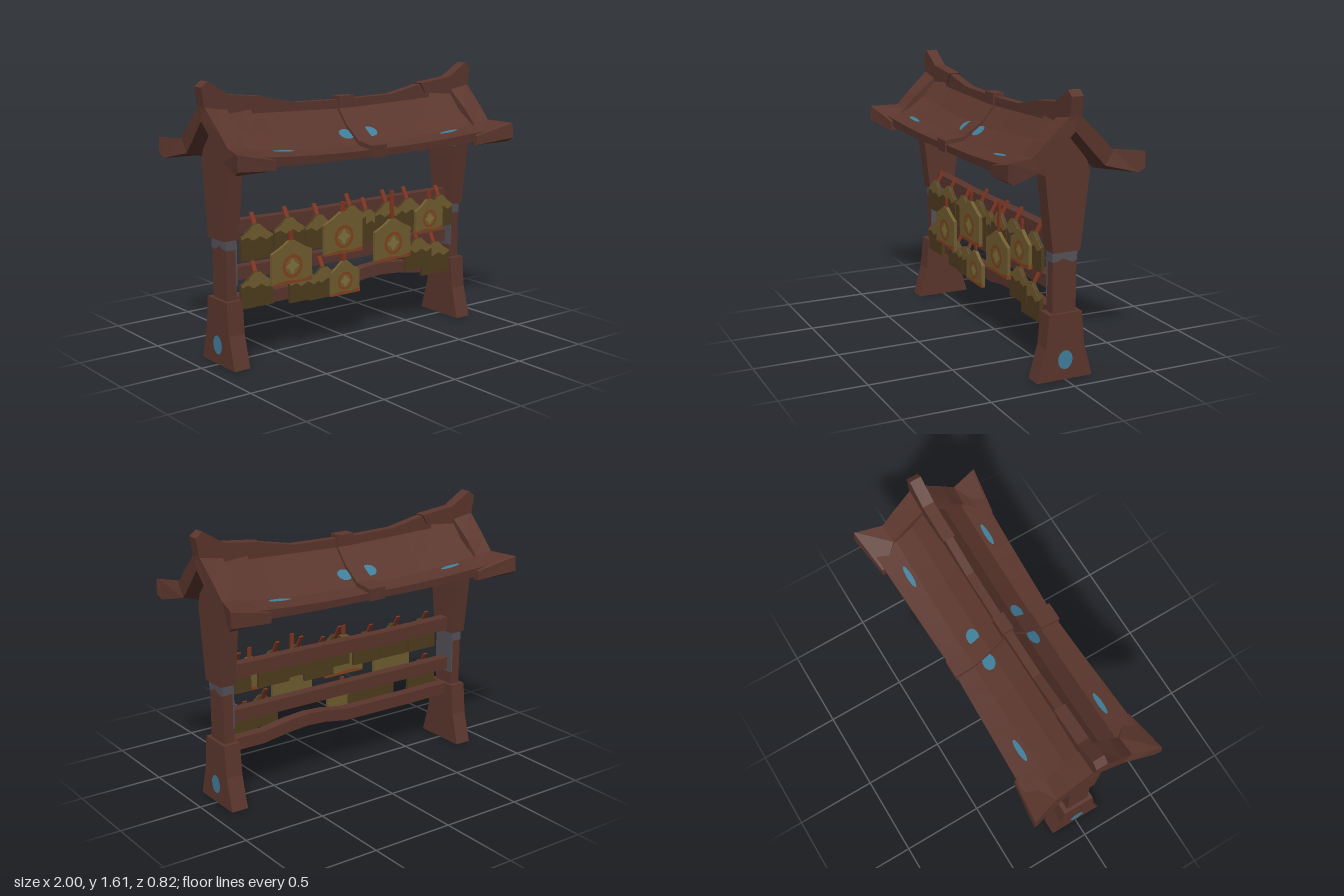
import * as THREE from 'three';

const mat = (name, color, side = THREE.FrontSide) => {
  const m = new THREE.MeshStandardMaterial({ color, side });
  m.name = name;
  return m;
};

export function createModel() {
  const root = new THREE.Group();
  root.name = 'plaqueRack';
  const wood = mat('brown wood', 0x5b362d, THREE.DoubleSide);
  const blue = mat('blue paint', 0x3f7f9c, THREE.DoubleSide);
  const grey = mat('grey metal', 0x545158);
  const dark = mat('dark olive', 0x4f3c1e);
  const olive = mat('olive', 0x715d30);
  const pale = mat('pale olive', 0x83733d);
  const rust = mat('rust brown', 0x82431f);
  const red = mat('red cord', 0x80351f);

  const add = (name, geo, material, parent = root) => {
    const m = new THREE.Mesh(geo, material);
    m.name = name;
    parent.add(m);
    return m;
  };
  const shapeOf = pts => new THREE.Shape(pts.map(p => new THREE.Vector2(p[0], p[1])));
  // Outline in x,y extruded from z0 to z1
  const slab = (pts, z0, z1) =>
    new THREE.ExtrudeGeometry(shapeOf(pts), { depth: z1 - z0, bevelEnabled: false }).translate(0, 0, z0);
  // Outline in z,y extruded from x0 to x1
  const sideSlab = (pts, x0, x1) =>
    slab(pts.map(p => [-p[0], p[1]]), x0, x1).rotateY(Math.PI / 2);
  const mirrored = half => [...half, ...half.slice().reverse().map(p => [-p[0], p[1]])];

  // Solid shell lofted along +x; each station lists [outer, inner] point pairs from +z to -z
  const shell = stations => {
    const v = [];
    const quad = (a, b, c, d) => v.push(...a, ...b, ...c, ...a, ...c, ...d);
    const n = stations[0].length;
    for (let s = 0; s < stations.length - 1; s++) {
      const A = stations[s], B = stations[s + 1];
      for (let i = 0; i < n - 1; i++) {
        quad(A[i][0], B[i][0], B[i + 1][0], A[i + 1][0]);
        quad(A[i][1], A[i + 1][1], B[i + 1][1], B[i][1]);
      }
      quad(A[0][0], A[0][1], B[0][1], B[0][0]);
      quad(A[n - 1][0], B[n - 1][0], B[n - 1][1], A[n - 1][1]);
    }
    const F = stations[0], L = stations[stations.length - 1];
    for (let i = 0; i < n - 1; i++) {
      quad(F[i][0], F[i + 1][0], F[i + 1][1], F[i][1]);
      quad(L[i][0], L[i][1], L[i + 1][1], L[i + 1][0]);
    }
    const g = new THREE.BufferGeometry();
    g.setAttribute('position', new THREE.Float32BufferAttribute(v, 3));
    g.computeVertexNormals();
    return g;
  };
  // Half section (ridge to eave) completed on both sides
  const bothSlopes = half => [
    ...half.slice().reverse(),
    ...half.slice(1).map(pair => pair.map(([x, y, z]) => [x, y, -z])),
  ];

  // Main roof: thin sagging sheet with a lip along the eave
  const roofHalf = (x, up = 0, out = 0) => {
    const l = 0.045 * (x / 0.8) ** 2, e = 0.33 + 0.03 * Math.abs(x) / 0.75 + out;
    return [
      [[x, 1.41 + l + up, 0], [x, 1.4 + l, 0]],
      [[x, 1.28 + l + up, 0.11], [x, 1.27 + l, 0.107]],
      [[x, 1.2 + l + up, 0.22], [x, 1.19 + l, 0.217]],
      [[x, 1.19 + l * 0.85 + up, e - 0.03], [x, 1.18 + l * 0.85, e - 0.03]],
      [[x, 1.187 + l * 0.8 + up, e], [x, 1.145 + l * 0.5 - up * 0.2, e - 0.005]],
    ];
  };
  const xs = Array.from({ length: 13 }, (_, i) => -0.87 + i * 0.145);
  add('roof', shell(xs.map(x => bothSlopes(roofHalf(x)))), wood);
  add('roofStrap', shell([-0.055, 0.055].map(x => bothSlopes(roofHalf(x, 0.025, 0.01)))), wood);
  add('strapTop', new THREE.BoxGeometry(0.11, 0.07, 0.07).translate(0, 1.43, 0), wood);

  // Flared roof ends
  const capIn = [
    [[0.82, 1.475, 0], [0.82, 1.345, 0]],
    [[0.825, 1.335, 0.165], [0.825, 1.22, 0.12]],
    [[0.83, 1.258, 0.235], [0.82, 1.155, 0.19]],
    [[0.73, 1.207, 0.35], [0.73, 1.14, 0.34]],
    [[0.73, 1.2, 0.37], [0.73, 1.145, 0.372]],
  ];
  const capOut = [
    [[0.965, 1.5, 0], [0.965, 1.39, 0]],
    [[0.955, 1.345, 0.165], [0.955, 1.262, 0.12]],
    [[0.95, 1.268, 0.24], [0.95, 1.19, 0.19]],
    [[0.995, 1.262, 0.395], [0.99, 1.145, 0.37]],
    [[1, 1.26, 0.404], [1, 1.17, 0.41]],
  ];
  const flip = st => st.map(pr => pr.map(([x, y, z]) => [-x, y, z]));
  const capA = bothSlopes(capIn), capB = bothSlopes(capOut);
  add('leftRoofEnd', shell([capA, capB]), wood);
  add('rightRoofEnd', shell([flip(capB), flip(capA)]), wood);

  // Ridge beam and its raised ends
  add('ridgeBeam', slab([[-0.65, 1.41], [0, 1.39], [0.65, 1.41], [0.65, 1.5], [0.58, 1.495], [0.35, 1.45],
    [0, 1.443], [-0.35, 1.45], [-0.58, 1.495], [-0.65, 1.5]], -0.025, 0.025), wood);
  for (const s of [-1, 1]) {
    const pts = [[0.575, 1.5], [0.61, 1.44], [0.82, 1.42], [0.96, 1.4], [0.965, 1.47],
      [0.982, 1.575], [0.94, 1.607], [0.805, 1.525]];
    add('ridgeEnd', slab(pts.map(p => [s * p[0], p[1]]), -0.035, 0.035), wood);
  }

  // Blue patches draped over both faces of the roof
  const drape = (cx, cz, rx, rz) => {
    for (const face of [0, 1]) {
      const g = new THREE.CircleGeometry(1, 14).rotateX(-Math.PI / 2).scale(rx, 1, rz).translate(cx, 0, cz);
      const p = g.attributes.position;
      for (let i = 0; i < p.count; i++) {
        const h = roofHalf(p.getX(i)).map(pr => pr[face]), z = Math.abs(p.getZ(i));
        const k = z < h[1][2] ? 0 : z < h[2][2] ? 1 : 2;
        const t = (z - h[k][2]) / (h[k + 1][2] - h[k][2]);
        p.setY(i, h[k][1] + t * (h[k + 1][1] - h[k][1]) + (face ? -0.006 : 0.006));
      }
      g.computeVertexNormals();
      add('roofPatch', g, blue);
    }
  };
  for (const sx of [-1, 1]) for (const sz of [-1, 1]) {
    drape(sx * 0.088, sz * 0.146, 0.048, 0.033);
    drape(sx * 0.605, sz * 0.26, 0.072, 0.016);
  }

  // Flared foot, hollow underneath
  const footGeometry = x => {
    const g = new THREE.BoxGeometry(0.103, 0.38, 2, 1, 2, 1).translate(x, 0.19, 0);
    const p = g.attributes.position;
    for (let i = 0; i < p.count; i++) {
      const y = p.getY(i);
      p.setZ(i, p.getZ(i) * (y < 0.1 ? 0.17 : y < 0.3 ? 0.118 : 0.1));
    }
    const bottom = g.groups[3];
    const index = Array.from(g.index.array);
    index.splice(bottom.start, bottom.count);
    g.setIndex(index);
    g.clearGroups();
    const flat = g.toNonIndexed();
    flat.computeVertexNormals();
    return flat;
  };

  // Posts
  for (const s of [-1, 1]) {
    const post = new THREE.Group();
    post.name = s > 0 ? 'leftPost' : 'rightPost';
    root.add(post);
    const span = (a, b) => (s > 0 ? [a, b] : [-b, -a]);
    add('foot', footGeometry(s * 0.8365), wood, post);
    add('shaft', sideSlab(mirrored([[0.072, 0.37], [0.072, 0.74]]), ...span(0.803, 0.868)), wood, post);
    add('upperPost', sideSlab(mirrored([[0.083, 0.725], [0.134, 1.15], [0.115, 1.22], [0.01, 1.345]]),
      ...span(0.79, 0.888)), wood, post);
    // Worn metal collar and inner plates
    add('collar', sideSlab([[-0.075, 0.727], [-0.075, 0.67], [-0.05, 0.66], [-0.02, 0.67], [0.01, 0.688],
      [0.04, 0.672], [0.075, 0.668], [0.075, 0.727]], ...span(0.8, 0.871)), grey, post);
    add('innerPlate', sideSlab(mirrored([[0.075, 0.46], [0.075, 0.7]]), ...span(0.799, 0.808)), grey, post);
    add('topPlate', sideSlab(mirrored([[0.125, 1.1], [0.132, 1.15], [0.11, 1.22]]), ...span(0.786, 0.792)),
      grey, post);
    // Foot spots, outside and inside the hollow
    for (const x of [0.892, 0.884]) {
      const spot = add('footSpot', new THREE.CircleGeometry(1, 16).scale(0.045, 0.055, 1), blue, post);
      spot.rotation.y = s * Math.PI / 2;
      spot.position.set(s * x, 0.115, 0);
    }
  }

  // Cross rails
  const rail = (name, line, h) => add(name, slab([...line, ...line.slice().reverse().map(p => [p[0], p[1] + h])],
    -0.037, 0.028), wood);
  rail('topRail', [[-0.82, 0.74], [-0.3, 0.732], [0.3, 0.738], [0.82, 0.74]], 0.082);
  rail('middleRail', [[-0.82, 0.477], [0.82, 0.477]], 0.075);
  rail('bottomRail', [[-0.82, 0.31], [-0.5, 0.307], [0, 0.31], [0.15, 0.335], [0.27, 0.342], [0.4, 0.332],
    [0.58, 0.305], [0.82, 0.305]], 0.073);

  // House-shaped plaques: x, width, bottom, peak, cord top
  const plaque = ([x, w, b, p, cord], z, ringed) => {
    const g = new THREE.Group();
    g.name = ringed ? 'ringPlaque' : 'plainPlaque';
    g.position.set(x, b, z);
    root.add(g);
    const r = w / 2, h = p - b, e = h - 0.065, d = 0.021;
    const top = [[r, e], [r * 0.55, h - 0.035], [0.02, h], [-0.02, h], [-r * 0.55, h - 0.035], [-r, e]];
    add('board', slab([[-r, 0], [r, 0], ...top], 0, d), ringed ? olive : dark, g);
    if (ringed) {
      const R = w * 0.25, cy = h * 0.4;
      add('ring', new THREE.RingGeometry(R * 0.72, R, 20).translate(0, cy, d + 0.003), rust, g);
      const star = Array.from({ length: 8 }, (_, i) => {
        const a = i * Math.PI / 4, q = R * (i % 2 ? 0.38 : 0.7);
        return [q * Math.cos(a), cy + q * Math.sin(a)];
      });
      add('star', new THREE.ShapeGeometry(shapeOf(star)).translate(0, 0, d + 0.003), pale, g);
      add('wornEdge', slab([[-r, -0.002], [r, -0.002], [r, 0.025], [r * 0.4, 0.012],
        [-r * 0.3, 0.02], [-r, 0.008]], -0.002, d + 0.002), rust, g);
    } else {
      add('paleTop', slab([[-r, e - 0.012], [-r * 0.6, e - 0.002], [-r * 0.25, e - 0.025], [r * 0.2, e - 0.005],
        [r * 0.6, e - 0.03], [r, e - 0.01], ...top], d, d + 0.002), olive, g);
    }
    // Cord leaning back towards the rail
    const len = cord - p + 0.03, lean = ringed ? 0.04 : 0.5;
    const c = add('cord', new THREE.BoxGeometry(0.026, len / Math.cos(lean), 0.01), red, g);
    c.rotation.x = -lean;
    c.position.set(0, h - 0.03 + len / 2, d * 0.5 - Math.tan(lean) * len * 0.5);
  };
  [[-0.68, 0.21, 0.6, 0.8, 0.86], [-0.46, 0.21, 0.6, 0.81, 0.865], [-0.245, 0.2, 0.6, 0.795, 0.855],
    [-0.01, 0.21, 0.62, 0.82, 0.885], [0.115, 0.21, 0.575, 0.78, 0.845], [0.265, 0.2, 0.62, 0.81, 0.875],
    [0.435, 0.21, 0.6, 0.81, 0.875], [0.69, 0.2, 0.6, 0.8, 0.855], [-0.68, 0.215, 0.325, 0.525, 0.58],
    [-0.355, 0.21, 0.305, 0.485, 0.53], [-0.21, 0.22, 0.295, 0.48, 0.535], [0.515, 0.21, 0.357, 0.55, 0.6],
    [0.66, 0.22, 0.302, 0.505, 0.555]].forEach((a, i) => plaque(a, 0.077 + (i % 2) * 0.004, false));
  [[-0.46, 0.28, 0.432, 0.68, 0.735], [-0.09, 0.28, 0.552, 0.8, 0.86], [0.288, 0.28, 0.457, 0.705, 0.88],
    [0.58, 0.22, 0.59, 0.79, 0.85]].forEach(a => plaque(a, 0.104, true));
  plaque([-0.065, 0.22, 0.295, 0.495, 0.54], 0.085, true);

  return root;
}
